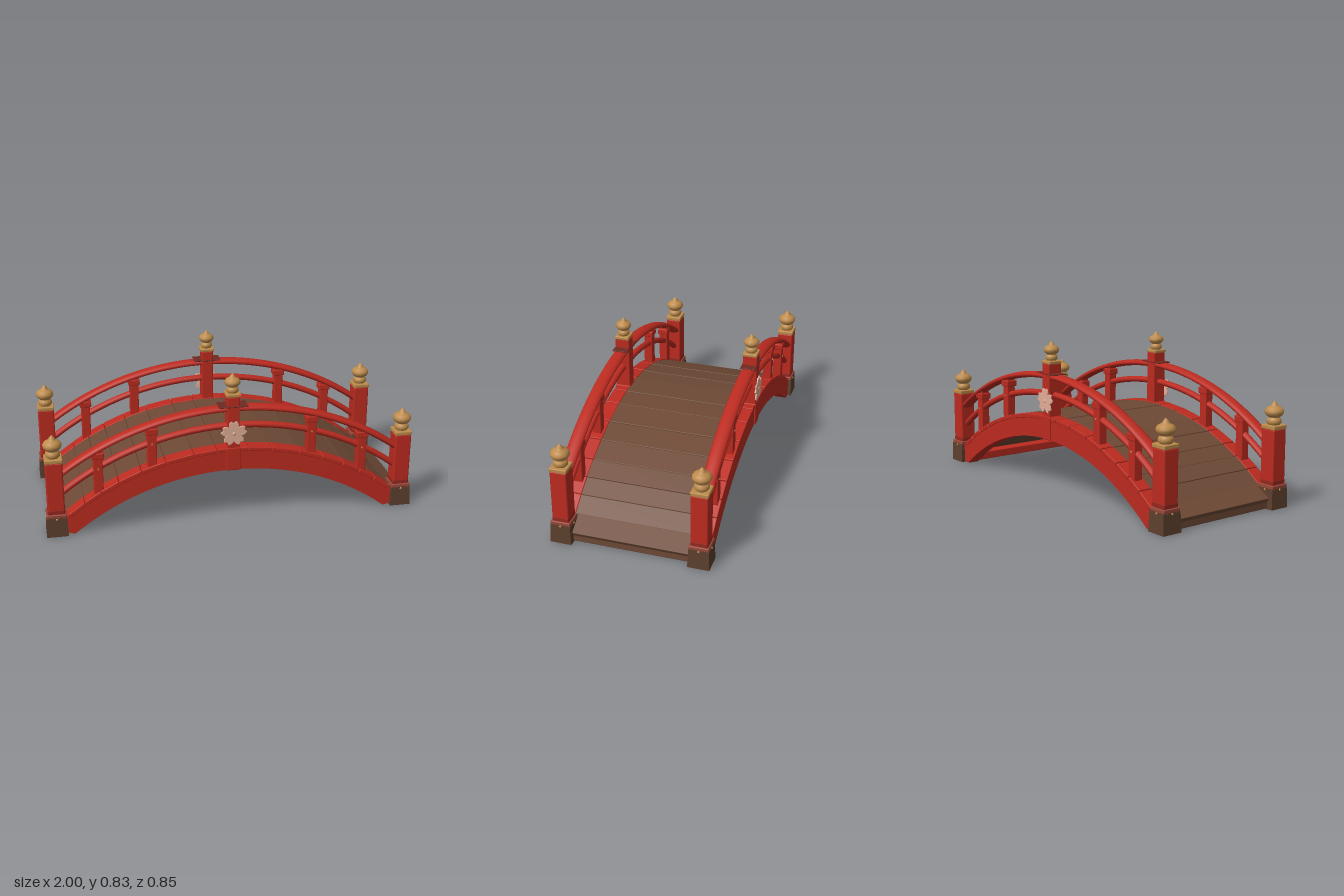
import * as THREE from 'three';
import { RoundedBoxGeometry } from 'three/addons/geometries/RoundedBoxGeometry.js';

const mat = (name, color) => {
  const m = new THREE.MeshStandardMaterial({ color });
  m.name = name;
  return m;
};

export function createModel() {
  const red = mat('red lacquer', 0xbc2b20);
  const stained = mat('stained red', 0x96281e);
  const brown = mat('deck wood', 0x6d4935);
  const darkWood = mat('footing wood', 0x5c3f2e);
  const worn = mat('worn red', 0x96483a);
  const plum = mat('dark cap', 0x6e2a22);
  const gold = mat('aged brass', 0xbd8b4b);
  const pink = mat('blossom', 0xe2ae97);

  const model = new THREE.Group();
  model.name = 'archedBridge';

  const add = (parent, name, geo, material, x = 0, y = 0, z = 0) => {
    const mesh = new THREE.Mesh(geo, material);
    mesh.name = name;
    mesh.position.set(x, y, z);
    parent.add(mesh);
    return mesh;
  };
  const block = (w, h, d, r = 0.005) => new RoundedBoxGeometry(w, h, d, 2, r);

  // Height of a circular arch with given crown and radius
  const arch = (x, crown, r) => crown - r + Math.sqrt(r * r - x * x);
  const SIDE_Z = 0.365;
  const DECK_TOP = 0.415, DECK_R = 1.42;
  const TOP_RAIL = [0.637, 1.55], MID_RAIL = [0.538, 1.5];

  // Deck boards: a wide crown board and seven more to each side
  const cuts = [0.06, 0.148, 0.256, 0.352, 0.444, 0.52, 0.592, 0.668];
  const spans = [[-cuts[0], cuts[0]]];
  for (let i = 1; i < cuts.length; i++) {
    spans.push([cuts[i - 1], cuts[i]], [-cuts[i], -cuts[i - 1]]);
  }
  const laySlab = (parent, name, [a0, a1], width, depth, thick, lift, material) => {
    const a = (a0 + a1) / 2, r = DECK_R + lift - thick / 2;
    const len = (a1 - a0) * DECK_R * width;
    const mesh = add(parent, name, block(len, thick, depth, 0.004), material,
      Math.sin(a) * r, DECK_TOP - DECK_R + Math.cos(a) * r);
    mesh.rotation.z = -a;
  };
  const deck = new THREE.Group();
  deck.name = 'deck';
  model.add(deck);
  spans.forEach((s, i) => laySlab(deck, 'deckBoard', s, 0.995, 0.66, 0.03, i % 3 ? 0 : 0.002, brown));

  // Flatter threshold board at each end, with a riser and a red sill behind it
  for (const sx of [-1, 1]) {
    add(deck, 'thresholdBoard', block(0.114, 0.03, 0.66, 0.004), brown, sx * 0.919, 0.073).rotation.z = -sx * 0.5;
    add(deck, 'riser', block(0.025, 0.048, 0.66), brown, sx * 0.952, 0.027);
    add(deck, 'endSill', block(0.088, 0.046, 0.66), red, sx * 0.894, 0.029);
  }

  // Curved side beam
  const beamShape = new THREE.Shape();
  const N = 32;
  beamShape.moveTo(-0.85, 0);
  for (let i = 1; i <= N; i++) {
    const x = -0.85 + (1.7 * i) / N;
    beamShape.lineTo(x, arch(x, 0.295, 1.37));
  }
  beamShape.lineTo(0.88, 0.005);
  beamShape.lineTo(0.91, 0.04);
  for (let i = 0; i <= N; i++) {
    const x = 0.91 - (1.82 * i) / N;
    beamShape.lineTo(x, arch(x, 0.402, 1.47));
  }
  beamShape.lineTo(-0.91, 0.04);
  beamShape.lineTo(-0.88, 0.005);
  const beamGeo = new THREE.ExtrudeGeometry(beamShape, { depth: 0.07, bevelEnabled: false });
  beamGeo.translate(0, 0, -0.035);

  // Arched rail with an oval section
  const railGeo = ([crown, r], height, width, halfSpan) => {
    const pts = [];
    for (let i = 0; i <= 24; i++) {
      const x = -halfSpan + (2 * halfSpan * i) / 24;
      pts.push(new THREE.Vector3(x, arch(x, crown, r), 0));
    }
    const g = new THREE.TubeGeometry(new THREE.CatmullRomCurve3(pts), 64, height / 2, 12);
    return g.scale(1, 1, width / height);
  };
  const topRailGeo = railGeo(TOP_RAIL, 0.035, 0.074, 0.92);
  const midRailGeo = railGeo(MID_RAIL, 0.034, 0.04, 0.92);

  // Onion finial, unit scale = corner post size
  const finialGeo = new THREE.LatheGeometry([
    [0, 0], [0.03, 0], [0.037, 0.008], [0.039, 0.02], [0.036, 0.03], [0.029, 0.037],
    [0.029, 0.041], [0.041, 0.049], [0.049, 0.062], [0.049, 0.074], [0.041, 0.087],
    [0.026, 0.095], [0.018, 0.099], [0.016, 0.106], [0.008, 0.116], [0, 0.124],
  ].map(([x, y]) => new THREE.Vector2(x, y)), 28);

  const finial = (parent, y, scale) => {
    add(parent, 'finialCollar', block(0.094 * scale, 0.022 * scale, 0.094 * scale), gold, 0, y + 0.011 * scale, 0);
    add(parent, 'finial', finialGeo, gold, 0, y + 0.021 * scale, 0).scale.setScalar(scale);
  };

  // Flared footing: box narrowed toward the top
  const footGeo = new THREE.BoxGeometry(0.114, 0.105, 0.114);
  const fp = footGeo.attributes.position;
  for (let i = 0; i < fp.count; i++) {
    if (fp.getY(i) > 0) { fp.setX(i, fp.getX(i) * 0.93); fp.setZ(i, fp.getZ(i) * 0.93); }
  }
  footGeo.computeVertexNormals();

  // Five-petal blossom with notched tips
  const petal = new THREE.Shape();
  petal.moveTo(0, 0.004);
  petal.bezierCurveTo(0.016, 0.016, 0.038, 0.042, 0.015, 0.067);
  petal.lineTo(0, 0.058);
  petal.lineTo(-0.015, 0.067);
  petal.bezierCurveTo(-0.038, 0.042, -0.016, 0.016, 0, 0.004);
  const petalGeo = new THREE.ExtrudeGeometry(petal, {
    depth: 0.004, bevelThickness: 0.002, bevelSize: 0.0015, bevelSegments: 2, curveSegments: 8,
  });

  // One complete side, built facing +z
  const buildSide = (name) => {
    const side = new THREE.Group();
    side.name = name;
    add(side, 'sideBeam', beamGeo, red);
    spans.forEach((s) => laySlab(side, 'beamCap', s, 0.97, 0.076, 0.022, 0.004, red));
    add(side, 'topRail', topRailGeo, red);
    add(side, 'middleRail', midRailGeo, red);

    // Intermediate posts with brackets
    for (const x of [-0.715, -0.43, 0.43, 0.715]) {
      const y0 = arch(x, 0.395, 1.47), y1 = arch(x, ...TOP_RAIL);
      add(side, 'railPost', block(0.05, y1 - y0, 0.05), red, x, (y0 + y1) / 2, 0);
      add(side, 'postBracket', block(0.066, 0.035, 0.062), red, x, y1 - 0.032, 0);
      const peg = add(side, 'postPeg', new THREE.CylinderGeometry(0.005, 0.005, 0.006, 10), gold,
        x, arch(x, ...MID_RAIL), 0.026);
      peg.rotation.x = Math.PI / 2;
    }

    // Crown post, with a thin dark plate lying on the rail
    const crown = new THREE.Group();
    crown.name = 'crownPost';
    add(crown, 'crownShaft', block(0.064, 0.415, 0.08), red, 0, 0.5, 0);
    add(crown, 'crownBeamStrap', block(0.076, 0.13, 0.086), red, 0, 0.358, 0);
    add(crown, 'crownRailPlate', block(0.155, 0.006, 0.084, 0.002), plum, 0, 0.653, 0);
    finial(crown, 0.706, 0.84);
    side.add(crown);

    // Blossom on the outer face
    const flower = new THREE.Group();
    flower.name = 'blossom';
    flower.position.set(0, 0.507, 0.042);
    for (let i = 0; i < 5; i++) {
      add(flower, 'petal', petalGeo, pink).rotation.z = (i * Math.PI * 2) / 5;
    }
    add(flower, 'blossomCentre', new THREE.SphereGeometry(0.01, 14, 8).scale(1, 1, 0.6), pink, 0, 0, 0.005);
    side.add(flower);

    // Corner posts
    for (const sx of [-1, 1]) {
      const post = new THREE.Group();
      post.name = 'cornerPost';
      post.position.x = sx * 0.943;
      add(post, 'postShaft', block(0.09, 0.4, 0.09, 0.008), red, 0, 0.217, 0);
      add(post, 'postStain', block(0.0915, 0.03, 0.0915, 0.008), stained, 0, 0.138, 0);
      add(post, 'footing', footGeo, darkWood, 0, 0.0525, 0);
      add(post, 'footingRim', block(0.106, 0.022, 0.106), worn, 0, 0.115, 0);
      for (let i = 0; i < 4; i++) {
        const a = (i * Math.PI) / 2;
        add(post, 'footingStud', new THREE.SphereGeometry(0.0065, 10, 6), gold,
          Math.sin(a) * 0.052, 0.1, Math.cos(a) * 0.052);
      }
      finial(post, 0.415, 1);
      side.add(post);
    }
    return side;
  };

  const front = buildSide('frontSide');
  front.position.z = SIDE_Z;
  const back = buildSide('backSide');
  back.position.z = -SIDE_Z;
  back.rotation.y = Math.PI;
  model.add(front, back);
  return model;
}
